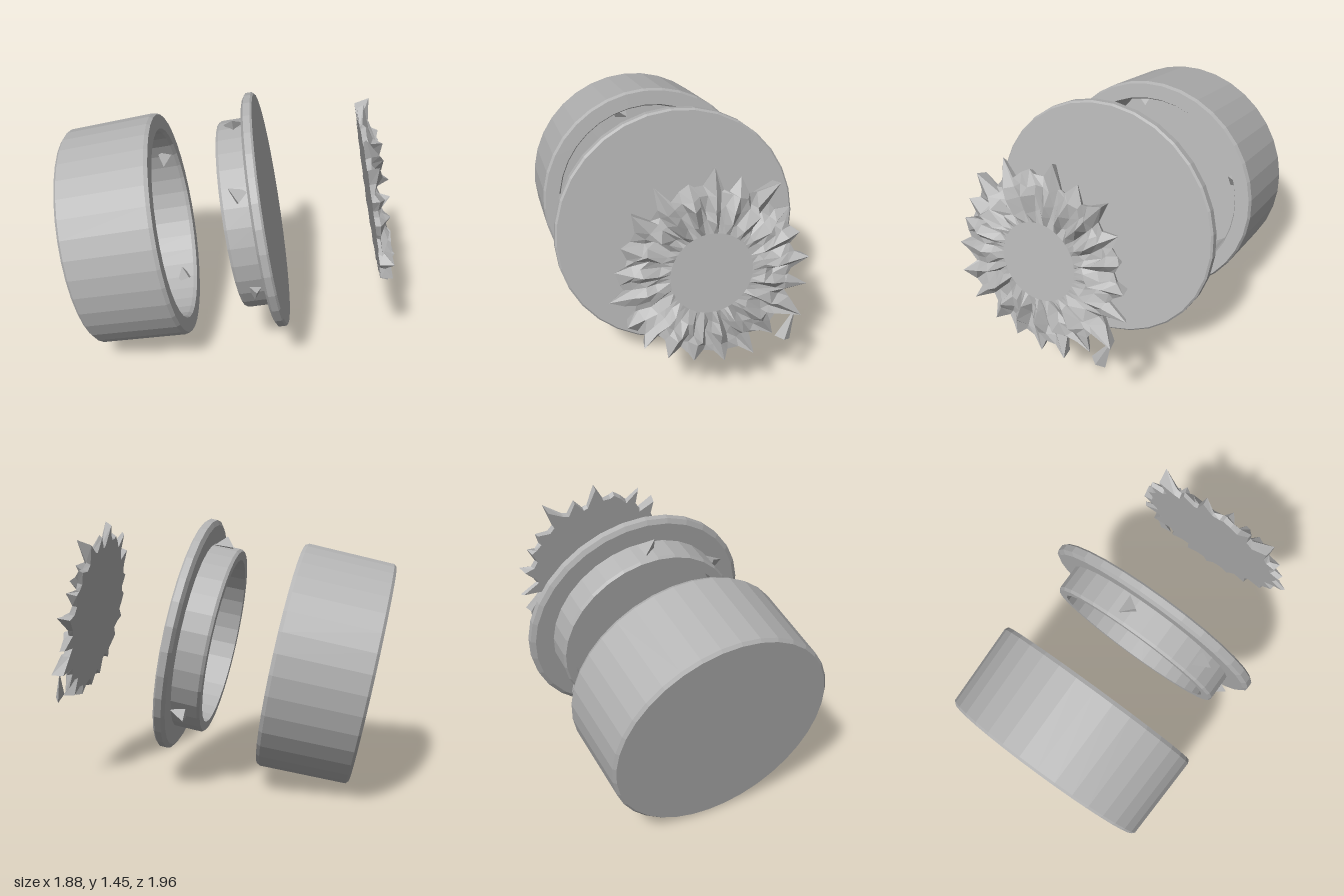
import * as THREE from 'three';

const clay = new THREE.MeshStandardMaterial({ color: 0xb3b3b3, flatShading: true });
clay.name = 'grey clay';

// Small seeded generator for the uneven, hand-cut shapes
let seed = 7;
function rnd(a = 0, b = 1) {
  seed = (seed * 16807) % 2147483647;
  return a + (b - a) * (seed / 2147483647);
}

function part(name, geometry) {
  const mesh = new THREE.Mesh(geometry, clay);
  mesh.name = name;
  return mesh;
}

// Solid of revolution around the common axis: [radius, position along axis]
function turned(name, profile, sides) {
  const pts = profile.map(([r, s]) => new THREE.Vector2(r, s));
  return part(name, new THREE.LatheGeometry(pts, sides));
}

// Jagged clasps set around a wall
function clasps(name, radius, s, degrees, size) {
  const group = new THREE.Group();
  group.name = name;
  for (const d of degrees) {
    const a = THREE.MathUtils.degToRad(d);
    const nub = part('clasp', new THREE.TetrahedronGeometry(size));
    nub.position.set(radius * Math.cos(a), s, -radius * Math.sin(a));
    nub.rotation.set(rnd(0, 3), a, rnd(0, 3));
    group.add(nub);
  }
  return group;
}

// Flower: rings of a polar grid, running from the front centre over the rim to the back centre
function flowerGeometry() {
  const spikes = 21, cols = spikes * 3;
  const rings = [];
  const ring = (fn) => rings.push(Array.from({ length: cols }, (_, i) => {
    const [r, s] = fn(i);
    const a = ((i + (r > 0.22 ? rnd(-0.3, 0.3) : 0)) / cols) * Math.PI * 2;
    return [r * Math.cos(a), s, -r * Math.sin(a)];
  }));
  const tip = (i) => i % 3 === 0;
  ring(() => [0, 0.58]);
  ring(() => [0.205, 0.58]);
  ring((i) => [rnd(0.24, 0.28), tip(i) ? rnd(0.59, 0.62) : rnd(0.56, 0.59)]);
  ring((i) => [rnd(0.31, 0.36), tip(i) ? rnd(0.6, 0.64) : rnd(0.55, 0.59)]);
  ring((i) => [rnd(0.37, 0.4), tip(i) ? rnd(0.58, 0.62) : rnd(0.55, 0.58)]);
  ring((i) => (tip(i) ? [rnd(0.46, 0.545), rnd(0.55, 0.62)] : [rnd(0.4, 0.45), rnd(0.55, 0.57)]));
  rings.push(rings[5].map(([x, , z]) => [x * 0.97, 0.535, z * 0.97]));
  ring(() => [0, 0.535]);

  const v = [];
  for (let k = 0; k < rings.length - 1; k++) {
    for (let i = 0; i < cols; i++) {
      const j = (i + 1) % cols;
      const a = rings[k][i], b = rings[k + 1][i], c = rings[k + 1][j], d = rings[k][j];
      if (k < rings.length - 2) v.push(...a, ...b, ...c);
      if (k > 0) v.push(...a, ...c, ...d);
    }
  }
  const g = new THREE.BufferGeometry();
  g.setAttribute('position', new THREE.Float32BufferAttribute(v, 3));
  g.computeVertexNormals();
  return g;
}

export function createModel() {
  seed = 7;
  const model = new THREE.Group();
  model.name = 'openedRoundBox';

  // Everything shares one tilted axis; the lid front is at position 0
  const axis = new THREE.Vector3(0.615, 0.195, 0.763).normalize();
  const side = new THREE.Vector3(axis.z, 0, -axis.x).normalize();
  const down = new THREE.Vector3().crossVectors(side, axis);
  const assembly = new THREE.Group();
  assembly.name = 'explodedAssembly';
  assembly.quaternion.setFromRotationMatrix(new THREE.Matrix4().makeBasis(side, axis, down));
  assembly.position.set(0.17, 0.82, 0.205);
  model.add(assembly);

  // Hollow box body with a thick wall
  const body = new THREE.Group();
  body.name = 'boxBody';
  body.add(turned('boxShell', [
    [0, -1.055], [0.6, -1.055], [0.615, -1.04], [0.63, -0.57], [0.62, -0.55],
    [0.54, -0.55], [0.53, -0.57], [0.53, -1.0], [0, -1.0],
  ], 36));
  body.add(clasps('boxClasps', 0.52, -0.62, [20, 105, 200, 290], 0.06));
  assembly.add(body);

  // Lid plate with a hollow collar behind it
  const lid = new THREE.Group();
  lid.name = 'lid';
  lid.add(turned('lidPlate', [
    [0, -0.06], [0.63, -0.06], [0.655, -0.045], [0.655, -0.01], [0.645, 0], [0, 0],
  ], 32));
  lid.add(turned('lidCollar', [
    [0.465, -0.05], [0.465, -0.215], [0.515, -0.215], [0.525, -0.2], [0.525, -0.05],
  ], 32));
  lid.add(clasps('lidClasps', 0.525, -0.12, [-42, 88, 140, 200], 0.065));
  assembly.add(lid);

  // Spiky flower ornament and its loose chip
  const flower = new THREE.Group();
  flower.name = 'flower';
  flower.add(part('petals', flowerGeometry()));
  const chip = part('loosePetalChip', new THREE.ConeGeometry(0.05, 0.17, 3));
  chip.scale.z = 0.4;
  chip.position.set(0.4, 0.56, 0.36);
  chip.rotation.set(-Math.PI / 2, 0, -0.4);
  flower.add(chip);
  assembly.add(flower);

  return model;
}
